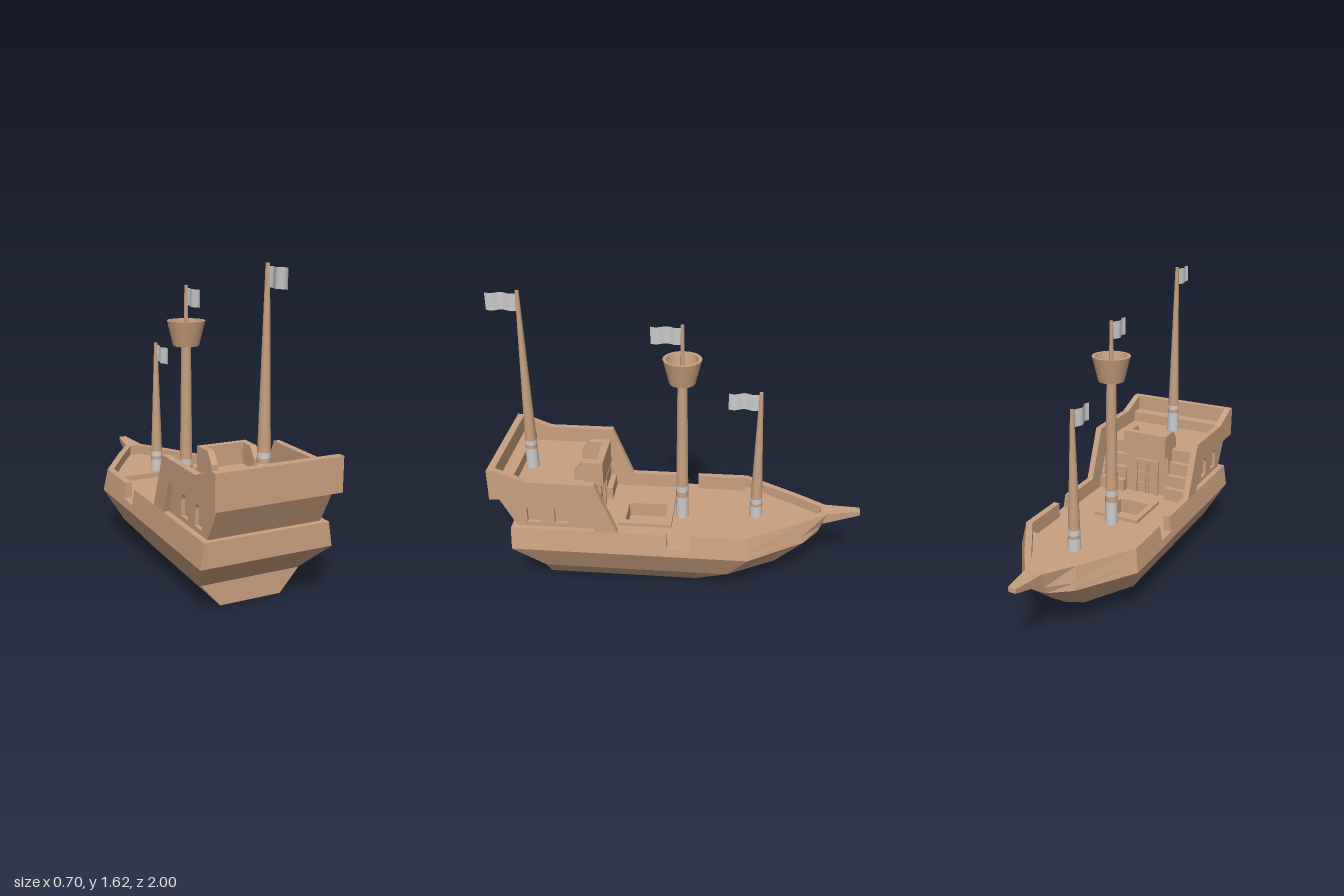
import * as THREE from 'three';

const wood = new THREE.MeshStandardMaterial({ color: 0xc8a080, flatShading: true });
const smoothWood = new THREE.MeshStandardMaterial({ color: 0xc8a080, side: THREE.DoubleSide });
const insideWood = new THREE.MeshStandardMaterial({ color: 0xc8a080, side: THREE.BackSide });
const grey = new THREE.MeshStandardMaterial({ color: 0xcccccc });
const cloth = new THREE.MeshStandardMaterial({ color: 0xcccccc, side: THREE.DoubleSide });

export function createModel() {
  const ship = new THREE.Group();
  ship.name = 'sailingShip';

  const add = (name, geometry, material = wood, parent = ship) => {
    const mesh = new THREE.Mesh(geometry, material);
    mesh.name = name;
    parent.add(mesh);
    return mesh;
  };
  // box given by its lower and upper limits
  const box = (name, x0, x1, y0, y1, z0, z1, material = wood) =>
    add(name, new THREE.BoxGeometry(x1 - x0, y1 - y0, z1 - z0)
      .translate((x0 + x1) / 2, (y0 + y1) / 2, (z0 + z1) / 2), material);
  // side profile of [z, y] points, spanning x0 to x1
  const profile = (name, points, x0, x1, holes = []) => {
    const shape = new THREE.Shape(points.map(p => new THREE.Vector2(...p)));
    shape.holes.push(...holes);
    const g = new THREE.ExtrudeGeometry(shape, { depth: x1 - x0, bevelEnabled: false, curveSegments: 8 });
    return add(name, g.rotateY(-Math.PI / 2).translate(x1, 0, 0));
  };
  // skin over equal rings of [x, y, z], from bottom to top
  const loft = (name, rings, capTop = true) => {
    const p = [], n = rings[0].length, top = rings[rings.length - 1];
    const tri = (a, b, c) => p.push(...a, ...b, ...c);
    for (let k = 0; k < rings.length - 1; k++)
      for (let i = 0; i < n; i++) {
        const j = (i + 1) % n, lo = rings[k], hi = rings[k + 1];
        tri(lo[i], lo[j], hi[j]);
        tri(lo[i], hi[j], hi[i]);
      }
    for (let i = 1; i < n - 1; i++) {
      tri(rings[0][0], rings[0][i + 1], rings[0][i]);
      if (capTop) tri(top[0], top[i], top[i + 1]);
    }
    const g = new THREE.BufferGeometry();
    g.setAttribute('position', new THREE.Float32BufferAttribute(p, 3));
    g.computeVertexNormals();
    return add(name, g);
  };
  // closed ring from the left half [x, z], mirrored to the right
  const ring = (half, y) => [
    ...half.map(([x, z]) => [x, y, z]),
    ...half.slice().reverse().map(([x, z]) => [-x, y, z])];

  // Hull: stern, gangway gap, shoulder, bow and stem at each level
  const level = (w, stern, shoulder, bowX, bowZ, tipX, tipZ) =>
    [[w, stern], [w, 0.045], [w, -0.08], [w, shoulder], [bowX, bowZ], [tipX, tipZ]];
  const deckY = 0.315, railY = 0.4;
  const keel = level(0.165, 0.73, -0.1, 0.08, -0.25, 0.03, -0.28);
  const bilge = level(0.27, 0.73, -0.28, 0.12, -0.54, 0.035, -0.58);
  const wale = level(0.35, 0.89, -0.39, 0.155, -0.69, 0.04, -0.775);
  const rail = level(0.33, 0.89, -0.37, 0.15, -0.665, 0.045, -0.82);
  const sill = wale.map((p, i) => p.map((v, k) => v + (rail[i][k] - v) * 0.32));
  const inner = level(0.295, 0.85, -0.36, 0.13, -0.63, 0.028, -0.785);
  loft('hull', [ring(keel, 0), ring(bilge, 0.12), ring(wale, 0.275), ring(sill, deckY)], false);

  // Main deck with hatch opening
  const deck = new THREE.Shape(ring(sill, 0).map(([x, , z]) => new THREE.Vector2(x, -z)));
  const rect = (s, w, z0, z1) => s.moveTo(-w, -z0).lineTo(w, -z0).lineTo(w, -z1).lineTo(-w, -z1).closePath();
  deck.holes.push(rect(new THREE.Path(), 0.1, 0.08, 0.305));
  add('mainDeck', new THREE.ShapeGeometry(deck).rotateX(-Math.PI / 2).translate(0, deckY, 0));
  const coaming = rect(new THREE.Shape(), 0.135, 0.04, 0.34);
  coaming.holes.push(rect(new THREE.Path(), 0.1, 0.08, 0.305));
  add('hatchFrame', new THREE.ExtrudeGeometry(coaming, { depth: 0.02, bevelEnabled: false })
    .rotateX(-Math.PI / 2).translate(0, deckY, 0));
  box('hatchWell', -0.1, 0.1, 0.23, deckY, 0.08, 0.305, insideWood);

  // Bulwark, open at the gangways on both sides
  const o0 = ring(sill, deckY), o1 = ring(rail, railY), i0 = ring(inner, deckY), i1 = ring(inner, railY);
  o0.forEach((_, i) => {
    const j = (i + 1) % o0.length;
    if (i === 1 || i === 9) return;
    loft('bulwark', [[o0[i], o0[j], i0[j], i0[i]], [o1[i], o1[j], i1[j], i1[i]]]);
  });
  loft('foredeck', [ring(inner.slice(3), deckY), ring(inner.slice(3), 0.345)]);

  // Bowsprit
  const beam = (x, zBack, zFront, yBack, yFront) =>
    [[x[0], yBack, zBack], [x[1], yFront, zFront], [-x[1], yFront, zFront], [-x[0], yBack, zBack]];
  loft('bowsprit', [beam([0.045, 0.02], -0.8, -1, 0.335, 0.385), beam([0.05, 0.022], -0.8, -1, 0.401, 0.41)]);

  // Sterncastle: core, window panels and outer walls
  profile('cabin', [[0.51, 0.31], [0.83, 0.31], [0.86, 0.4], [0.955, 0.575], [0.51, 0.575]], -0.28, 0.28);
  const arch = z => {
    const p = new THREE.Path();
    p.moveTo(z - 0.037, 0.425).lineTo(z + 0.037, 0.425).lineTo(z + 0.037, 0.5);
    p.absarc(z, 0.5, 0.037, 0, Math.PI, false);
    return p.closePath();
  };
  for (const s of [1, -1]) {
    const span = (a, b) => s > 0 ? [a, b] : [-b, -a];
    profile('windowPanel', [[0.43, 0.4], [0.86, 0.4], [0.955, 0.575], [0.5, 0.575]],
      ...span(0.28, 0.3), [arch(0.765), arch(0.615)]);
    profile('castleWall', [[0.31, 0.4], [0.43, 0.4], [0.5, 0.575], [0.99, 0.575], [0.99, 0.75],
      [0.95, 0.75], [0.79, 0.69], [0.425, 0.69]], ...span(0.295, 0.33));
    // Stairs up to the quarterdeck
    [0.41, 0.443, 0.477].forEach((z, i) =>
      box('stair', ...span(0.135, 0.295), deckY, 0.387 + i * 0.071, z, 0.52));
    // Balcony side
    profile('balconySide', [[0.41, 0.575], [0.57, 0.575], [0.57, 0.65], [0.525, 0.71], [0.41, 0.71]],
      ...span(0.1, 0.135));
    box('doorJamb', ...span(0.06, 0.078), deckY, 0.53, 0.437, 0.46);
    box('doorStile', ...span(0.004, 0.014), deckY, 0.515, 0.445, 0.46);
  }
  box('quarterdeck', -0.296, 0.296, 0.57, 0.6, 0.51, 0.955);
  box('sternRail', -0.33, 0.33, 0.575, 0.75, 0.95, 0.99);
  box('sternBench', -0.296, 0.296, 0.6, 0.66, 0.88, 0.95);
  box('balconyFloor', -0.135, 0.135, 0.57, 0.6, 0.41, 0.52);
  box('balconyFront', -0.135, 0.135, 0.57, 0.71, 0.41, 0.45);
  box('doorWall', -0.135, 0.135, deckY, 0.572, 0.455, 0.52);
  box('doorLintel', -0.078, 0.078, 0.515, 0.535, 0.437, 0.46);
  for (const y of [0.37, 0.44]) box('doorRail', -0.06, 0.06, y, y + 0.01, 0.447, 0.46);

  // Masts: tapered, with grey bands near the foot, and a waving flag
  const mast = (name, z, y0, y1, r0, r1, bands, flagY, flagZ) => {
    const group = new THREE.Group();
    group.name = name;
    ship.add(group);
    const radius = y => r0 + (r1 - r0) * (y - y0) / (y1 - y0);
    const stops = [y0, ...bands, y1];
    for (let i = 0; i < stops.length - 1; i++) {
      const [a, b] = [stops[i], stops[i + 1]];
      add(i % 2 ? 'mastWood' : 'mastBand', new THREE.CylinderGeometry(radius(b), radius(a), b - a, 16)
        .translate(0, (a + b) / 2, z), i % 2 ? smoothWood : grey, group);
    }
    const flag = new THREE.PlaneGeometry(0.165, 0.093, 16, 1).rotateY(-Math.PI / 2);
    const p = flag.attributes.position;
    for (let i = 0; i < p.count; i++) {
      const t = p.getZ(i) / 0.165 + 0.5;
      p.setX(i, 0.01 * Math.sin(t * Math.PI * 3));
    }
    flag.computeVertexNormals();
    add('flag', flag.translate(0, flagY, flagZ + 0.0825), cloth, group);
    return group;
  };
  mast('sternMast', 0.83, 0.6, 1.62, 0.036, 0.01, [0.72, 0.742, 0.77], 1.56, 0.835);
  mast('foreMast', -0.425, 0.345, 1.105, 0.036, 0.01, [0.412, 0.43, 0.46], 1.047, -0.42);
  const main = mast('mainMast', -0.01, deckY, 1.18, 0.036, 0.026, [0.45, 0.485, 0.52], 1.405, -0.01);
  add('topPole', new THREE.CylinderGeometry(0.009, 0.013, 0.29, 12).translate(0, 1.32, -0.01), smoothWood, main);

  // Crow's nest
  const nest = [[0, 1.145], [0.07, 1.145], [0.103, 1.28], [0.086, 1.28], [0.06, 1.17], [0, 1.17]];
  for (let i = 0; i < nest.length - 1; i++)
    add('crowsNest', new THREE.LatheGeometry([nest[i], nest[i + 1]].map(p => new THREE.Vector2(...p)), 24)
      .translate(0, 0, -0.01), smoothWood, main);

  return ship;
}
